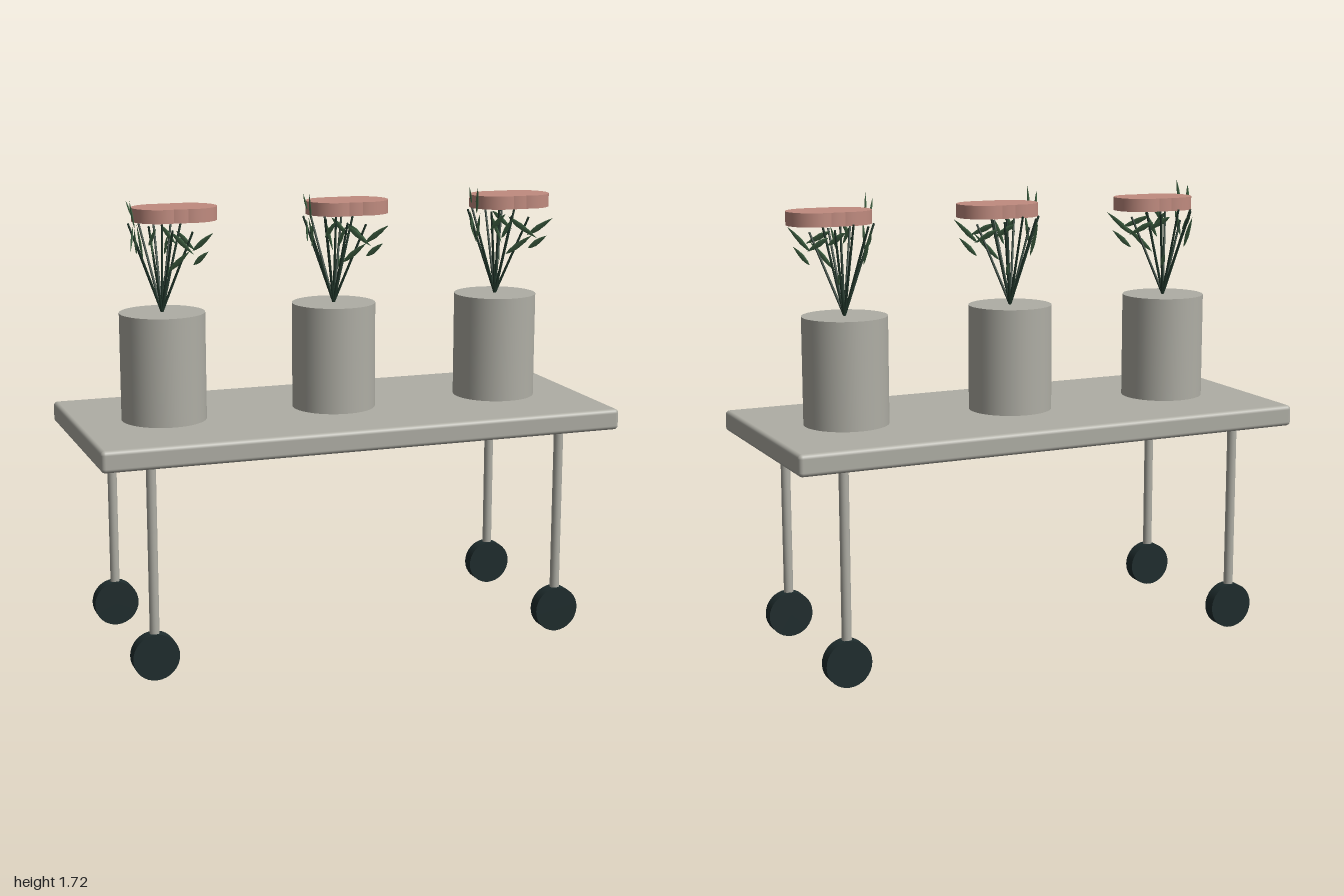
import * as THREE from 'three';
import { RoundedBoxGeometry } from 'three/addons/geometries/RoundedBoxGeometry.js';

const flat = (name, color) => {
  const m = new THREE.MeshStandardMaterial({ color });
  m.name = name;
  return m;
};

export function createModel() {
  const stone = flat('warm grey', 0xafaea5);
  const rubber = flat('dark rubber', 0x1e2c2d);
  const pink = flat('dusty pink', 0xc08b7f);
  const stemGreen = flat('stem green', 0x22382c);
  const leafGreen = flat('leaf green', 0x4c7350);

  const model = new THREE.Group();
  model.name = 'plantTrolley';

  function add(parent, name, geometry, material, x = 0, y = 0, z = 0) {
    const mesh = new THREE.Mesh(geometry, material);
    mesh.name = name;
    mesh.position.set(x, y, z);
    parent.add(mesh);
    return mesh;
  }

  // Table top
  add(model, 'tableTop', new RoundedBoxGeometry(2, 0.08, 0.86, 3, 0.016), stone, 0, 0.85, 0);

  // Legs and wheels at the four corners
  const legGeo = new THREE.CylinderGeometry(0.018, 0.018, 0.73, 16);
  const wheelGeo = new THREE.CylinderGeometry(0.087, 0.087, 0.05, 32).rotateX(Math.PI / 2);
  for (const x of [-0.8, 0.8]) {
    for (const z of [-0.32, 0.32]) {
      add(model, 'leg', legGeo, stone, x, 0.455, z);
      add(model, 'wheel', wheelGeo, rubber, x, 0.087, z);
    }
  }

  // Stem tips, measured from the middle of the pot's rim
  const stems = [
    [-0.12, 0.33, 0.0], [-0.11, 0.28, 0.06], [-0.07, 0.33, 0.11],
    [-0.06, 0.33, -0.10], [0.0, 0.36, 0.03], [0.02, 0.31, 0.10],
    [0.0, 0.34, -0.11], [0.06, 0.32, -0.08], [0.10, 0.30, 0.08], [0.08, 0.34, 0.0],
  ];
  // Leaves as base point then tip, in the same frame
  const leaves = [
    [-0.11, 0.32, 0.06, -0.15, 0.43, 0.16],
    [-0.10, 0.35, -0.01, -0.14, 0.42, 0.06],
    [-0.07, 0.26, 0.10, -0.08, 0.34, 0.26],
    [-0.06, 0.31, 0.09, -0.09, 0.23, 0.25],
    [-0.10, 0.22, 0.04, -0.13, 0.33, 0.14],
    [-0.09, 0.31, -0.05, -0.13, 0.24, 0.08],
    [0.02, 0.30, 0.08, 0.06, 0.24, 0.24],
    [0.01, 0.16, 0.07, 0.05, 0.25, 0.22],
    [0.0, 0.22, 0.05, -0.02, 0.31, 0.19],
    [0.10, 0.23, 0.07, 0.14, 0.31, 0.21],
    [0.10, 0.18, 0.08, 0.13, 0.24, 0.18],
    [0.07, 0.29, -0.04, 0.11, 0.23, 0.08],
    [0.02, 0.31, -0.08, 0.05, 0.25, 0.04],
    [-0.05, 0.19, -0.07, -0.06, 0.31, -0.115],
    [0.04, 0.12, -0.05, 0.06, 0.17, -0.115],
  ];

  const up = new THREE.Vector3(0, 1, 0);
  const across = new THREE.Vector3(1, 0, 0);

  // Slim blade running from 0 to 1 along y, widest below the middle
  const bladeGeo = new THREE.LatheGeometry(
    [[0, 0], [0.6, 0.15], [1, 0.4], [0.7, 0.7], [0, 1]].map(([r, y]) => new THREE.Vector2(r, y)), 6);

  function makeStem(parent, tip) {
    const v = new THREE.Vector3(...tip);
    const geo = new THREE.CylinderGeometry(0.004, 0.005, v.length(), 6);
    const stem = add(parent, 'stem', geo, stemGreen, tip[0] / 2, tip[1] / 2, tip[2] / 2);
    stem.quaternion.setFromUnitVectors(up, v.normalize());
  }

  function makeLeaf(parent, [ax, ay, az, bx, by, bz]) {
    const dir = new THREE.Vector3(bx - ax, by - ay, bz - az);
    const length = dir.length();
    dir.normalize();
    const width = new THREE.Vector3().crossVectors(dir, across).normalize();
    const normal = new THREE.Vector3().crossVectors(width, dir);
    const leaf = add(parent, 'leaf', bladeGeo, leafGreen, ax, ay, az);
    leaf.quaternion.setFromRotationMatrix(new THREE.Matrix4().makeBasis(width, dir, normal));
    leaf.scale.set(0.013, length, 0.004);
  }

  // Three matching potted flowers
  const potGeo = new THREE.CylinderGeometry(0.158, 0.158, 0.4, 48);
  const bloomGeo = new THREE.CylinderGeometry(0.105, 0.105, 0.05, 32);
  for (const x of [-0.667, 0, 0.667]) {
    const plant = new THREE.Group();
    plant.name = 'pottedFlower';
    plant.position.set(x, 1.29, 0);
    model.add(plant);
    add(plant, 'pot', potGeo, stone, 0, -0.2, 0);
    stems.forEach((s) => makeStem(plant, s));
    leaves.forEach((l) => makeLeaf(plant, l));
    // Bloom of overlapping discs
    for (const dx of [0, 0.053, 0.106]) add(plant, 'bloom', bloomGeo, pink, dx, 0.36, 0);
  }

  return model;
}
